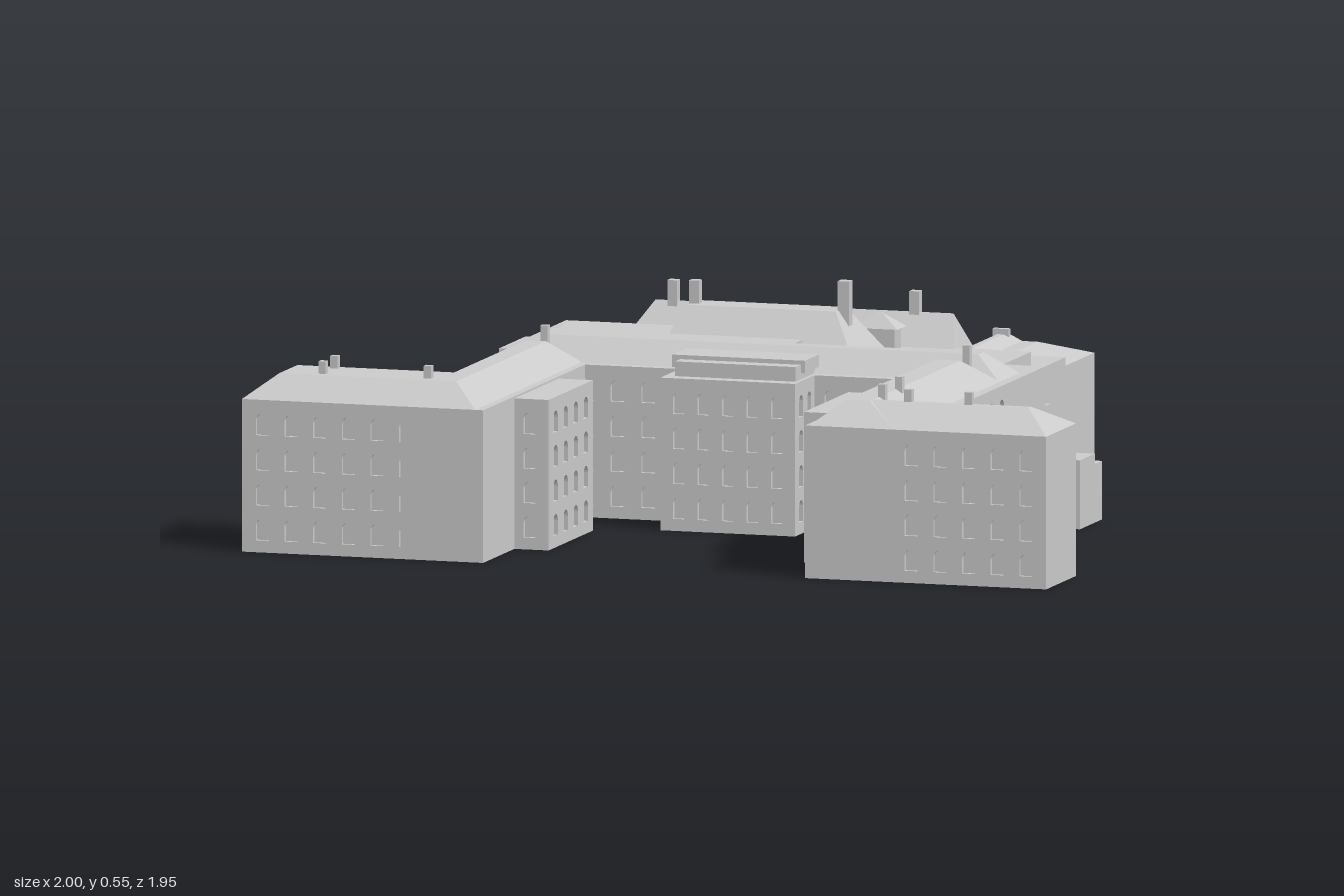
import * as THREE from 'three';

const EAVE = 0.365, TOP = 0.42, DEPTH = 0.01;

export function createModel() {
  const root = new THREE.Group();
  const mat = new THREE.MeshStandardMaterial({ color: 0xcccccc, flatShading: true });

  function add(name, geo, x = 0, y = 0, z = 0, parent = root) {
    const m = new THREE.Mesh(geo, mat);
    m.name = name;
    m.position.set(x, y, z);
    parent.add(m);
    return m;
  }

  function box(name, x0, x1, y0, y1, z0, z1, parent) {
    return add(name, new THREE.BoxGeometry(x1 - x0, y1 - y0, z1 - z0),
      (x0 + x1) / 2, (y0 + y1) / 2, (z0 + z1) / 2, parent);
  }

  // Wall skin pierced by rows of arched windows, facing +z
  function facadeGeometry(len, h, rows, pitch) {
    const s = new THREE.Shape();
    s.moveTo(-len / 2, 0);
    s.lineTo(len / 2, 0);
    s.lineTo(len / 2, h);
    s.lineTo(-len / 2, h);
    s.closePath();
    const cols = Math.max(1, Math.round((len - 0.03) / pitch));
    const dx = (len - 0.03) / cols, dy = (h - 0.03) / rows;
    const w = Math.min(0.45 * dx, 0.045), wh = 0.62 * dy;
    for (let i = 0; i < cols; i++) {
      for (let j = 0; j < rows; j++) {
        const cx = -len / 2 + 0.015 + (i + 0.5) * dx;
        const y = 0.012 + (j + 0.2) * dy;
        const p = new THREE.Path();
        p.moveTo(cx - w / 2, y);
        p.lineTo(cx + w / 2, y);
        p.absarc(cx, y + wh - w / 2, w / 2, 0, Math.PI, false);
        p.closePath();
        s.holes.push(p);
      }
    }
    return new THREE.ExtrudeGeometry(s, { depth: DEPTH, bevelEnabled: false, curveSegments: 5 });
  }

  // Building block; sides lists the windowed walls: f(ront) b(ack) l(-x) r(+x)
  function block(name, x0, x1, z0, z1, h, sides = '', rows = 4, pitch = 0.075) {
    const g = new THREE.Group();
    g.name = name;
    root.add(g);
    const inset = (c) => (sides.includes(c) ? DEPTH : 0);
    box('walls', x0 + inset('l'), x1 - inset('r'), 0, h, z0 + inset('b'), z1 - inset('f'), g);
    const cx = (x0 + x1) / 2, cz = (z0 + z1) / 2, W = x1 - x0, D = z1 - z0;
    const turns = { f: 0, r: 1, b: 2, l: 3 };
    for (const c of sides) {
      const a = turns[c] * Math.PI / 2, across = turns[c] % 2 === 1;
      const off = (across ? W : D) / 2 - DEPTH;
      const m = add('windowWall', facadeGeometry(across ? D : W, h, rows, pitch),
        cx + Math.sin(a) * off, 0, cz + Math.cos(a) * off, g);
      m.rotation.y = a;
    }
  }

  // Hipped roof: base rectangle b and top rectangle t, each [x0, x1, z0, z1]
  function roof(name, b, t, y0 = EAVE, y1 = TOP) {
    const ring = ([x0, x1, z0, z1], y) =>
      [[x0, y, z1], [x1, y, z1], [x1, y, z0], [x0, y, z0]];
    const lo = ring(b, y0), hi = ring(t, y1), pos = [];
    const quad = (p, q, r, s) => pos.push(...p, ...q, ...r, ...p, ...r, ...s);
    for (let i = 0; i < 4; i++) {
      const k = (i + 1) % 4;
      quad(lo[i], lo[k], hi[k], hi[i]);
    }
    quad(...hi);
    quad(lo[3], lo[2], lo[1], lo[0]);
    const g = new THREE.BufferGeometry();
    g.setAttribute('position', new THREE.Float32BufferAttribute(pos, 3));
    g.computeVertexNormals();
    add(name, g);
  }

  // Front range between the two forward wings
  block('mainRange', -0.60, 0.645, 0, 0.187, EAVE, 'fl');
  roof('mainRoofWest', [-0.60, 0.08, 0, 0.16], [-0.54, 0.08, 0, 0.10]);
  roof('mainRoofEast', [0.06, 0.62, 0, 0.16], [0.06, 0.55, 0.06, 0.10]);

  // Entrance pavilion with its attic
  block('entrancePavilion', -0.165, 0.17, 0.18, 0.335, EAVE, 'flr', 4, 0.06);
  box('pavilionAttic', -0.14, 0.16, EAVE, 0.40, 0.15, 0.30);
  box('atticStep', -0.16, 0.17, 0.38, 0.41, 0.15, 0.26);

  // Forward wings with their inner bays
  block('westWing', -0.605, -0.40, 0.16, 0.97, EAVE, 'lr');
  block('westWingEnd', -1, -0.40, 0.68, 0.97, EAVE, 'fbl');
  roof('westWingRoof', [-0.60, -0.42, 0.15, 0.97], [-0.54, -0.49, 0.21, 0.90]);
  roof('westEndRoof', [-1, -0.42, 0.70, 0.97], [-0.93, -0.49, 0.76, 0.90]);
  block('westBay', -0.41, -0.315, 0.39, 0.73, EAVE - 0.005, 'fbr');
  block('eastWing', 0.40, 0.645, 0.16, 0.97, EAVE, 'lr');
  block('eastWingEnd', 0.40, 1, 0.74, 0.97, EAVE, 'f');
  roof('eastWingRoof', [0.41, 0.62, 0.15, 0.97], [0.48, 0.54, 0.21, 0.90]);
  roof('eastEndRoof', [0.45, 1, 0.74, 0.97], [0.52, 0.93, 0.87, 0.89]);
  block('eastBay', 0.32, 0.41, 0.39, 0.73, EAVE - 0.005, 'fbl');

  // Central core and raised roof
  box('core', -0.41, 0.44, 0, EAVE, -0.34, 0.02);
  roof('raisedRoof', [-0.28, 0.22, -0.23, 0.03], [-0.23, 0.14, -0.15, -0.07], EAVE, 0.48);
  box('raisedRoofPlinth', -0.26, 0.16, EAVE, 0.40, -0.19, 0);
  box('roofLight', 0, 0.10, EAVE, 0.38, -0.285, -0.25);
  box('lanternBase', 0.145, 0.235, EAVE, 0.42, -0.28, -0.23);
  roof('lanternRoof', [0.135, 0.245, -0.29, -0.22], [0.185, 0.195, -0.256, -0.254], 0.42, 0.455);

  // West side pavilion
  block('westPavilion', -0.675, -0.28, -0.205, 0, EAVE, 'bl');
  roof('westPavilionRoof', [-0.665, -0.25, -0.195, -0.005], [-0.55, -0.25, -0.13, -0.065]);
  box('westRoofDeck', -0.53, -0.25, EAVE, TOP, -0.13, 0.01);
  box('westStair', -0.57, -0.49, 0, 0.32, -0.31, -0.2);

  // East side additions
  box('eastRange', 0.43, 0.645, 0, EAVE, -0.12, 0.02);
  box('eastLink', 0.43, 0.54, 0, EAVE, -0.335, -0.11);
  box('eastStair', 0.53, 0.645, 0, 0.27, -0.16, -0.11);
  box('eastOutbuilding', 0.64, 0.775, 0, 0.165, -0.10, 0.015);
  box('eastOutbuildingStep', 0.64, 0.775, 0, 0.14, -0.155, -0.10);
  box('eastAnnex', 0.35, 0.54, 0, 0.315, -0.60, -0.33);
  block('eastRearAnnex', 0.35, 0.52, -0.885, -0.59, 0.285, 'b', 2, 0.065);
  roof('eastRearAnnexRoof', [0.35, 0.52, -0.885, -0.59], [0.36, 0.40, -0.82, -0.67], 0.285, 0.315);

  // Rear hall and porch
  block('rearHall', -0.49, 0.365, -0.49, -0.30, 0.315, 'b', 2, 0.075);
  roof('rearHallRoof', [-0.49, 0.365, -0.495, -0.28], [-0.41, 0.33, -0.388, -0.383], 0.315, 0.44);
  block('rearPorch', -0.16, 0.02, -0.57, -0.48, 0.20, 'b', 1, 0.06);
  box('rearPorchRoof', -0.145, 0.005, 0.20, 0.215, -0.555, -0.48);

  // Gabled rear wings either side of the court
  for (const [name, x0, x1, z0, sides] of [
    ['westRearWing', -0.52, -0.355, -0.975, 'br'],
    ['eastRearWing', 0.20, 0.365, -0.925, 'bl'],
  ]) {
    const c = (x0 + x1) / 2;
    block(name, x0, x1, z0, -0.32, 0.28, sides, 2, 0.07);
    roof(name + 'Roof', [x0, x1, z0, -0.40], [c - 0.008, c + 0.008, z0, -0.40], 0.28, 0.317);
    box(name + 'Finial', c - 0.02, c + 0.02, 0.30, 0.33, z0 + 0.015, z0 + 0.03);
  }

  // Row of capped posts closing the rear court
  for (let i = 0; i < 6; i++) {
    const x = -0.28 + i * 0.083, z = -0.95 + i * 0.007;
    box('courtPost', x - 0.009, x + 0.009, 0, 0.105, z - 0.009, z + 0.009);
    box('courtPostCap', x - 0.012, x + 0.012, 0.10, 0.11, z - 0.012, z + 0.012);
    const tip = add('courtPostTip', new THREE.ConeGeometry(0.015, 0.022, 4), x, 0.121, z);
    tip.rotation.y = Math.PI / 4;
  }

  // Chimneys: [x, z, top, half width]
  for (const [x, z, top, r] of [
    [-0.22, -0.105, 0.535, 0.012], [0.152, -0.105, 0.55, 0.014],
    [-0.365, -0.385, 0.49, 0.012], [0.235, -0.39, 0.49, 0.012],
    [-0.83, 0.78, 0.45, 0.009], [-0.83, 0.87, 0.45, 0.009], [-0.57, 0.865, 0.45, 0.009],
    [0.545, 0.69, 0.45, 0.009], [0.545, 0.82, 0.45, 0.009],
    [0.63, 0.88, 0.45, 0.009], [0.78, 0.88, 0.45, 0.009],
    [-0.51, 0.155, 0.45, 0.009], [0.54, 0.155, 0.45, 0.009],
  ]) box('chimney', x - r, x + r, 0.36, top, z - r, z + r);

  return root;
}
